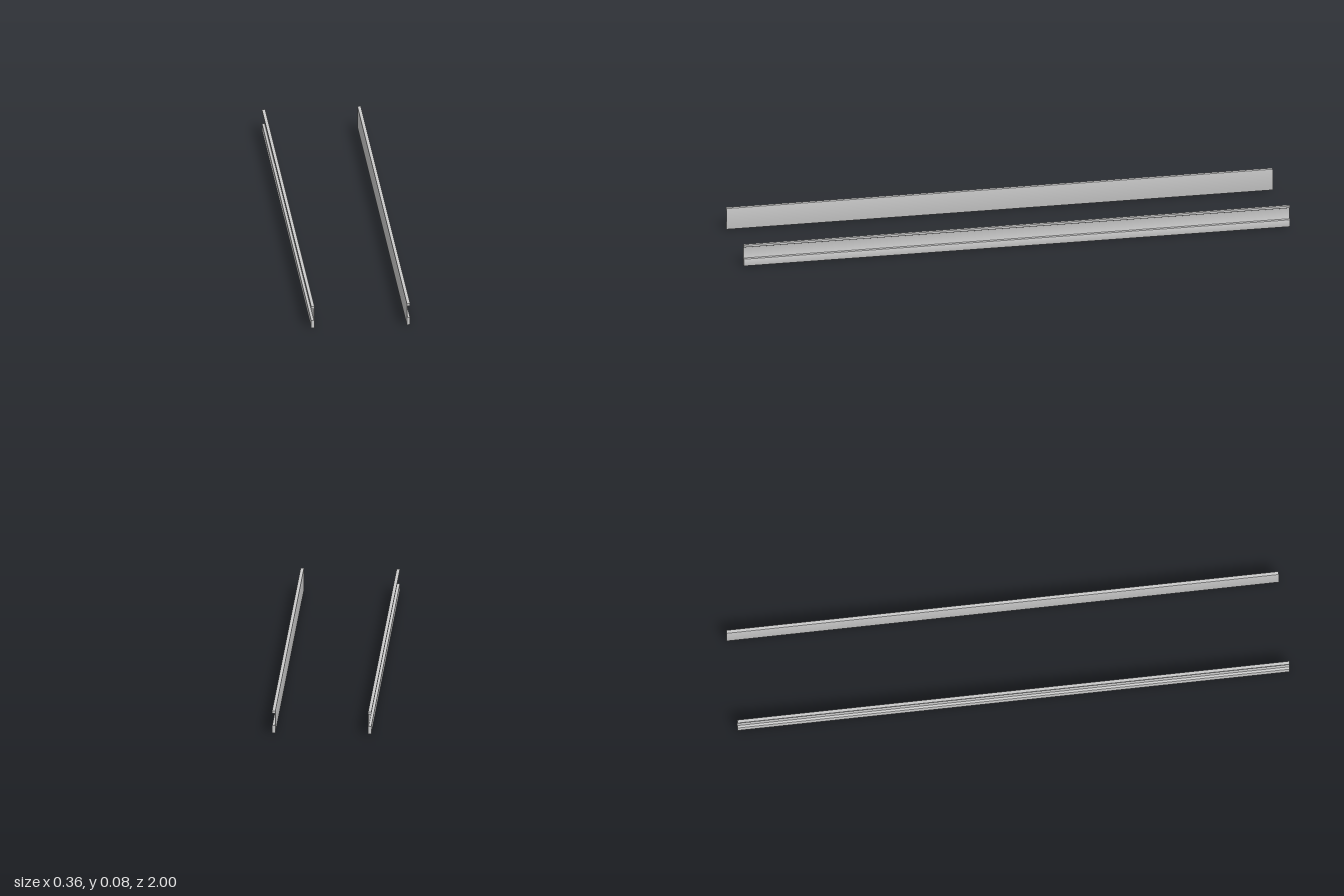
import * as THREE from 'three';
import { toCreasedNormals } from 'three/addons/utils/BufferGeometryUtils.js';

const LENGTH = 2, HEIGHT = 0.082;
const INNER = 0.1665, OUTER = 0.179; // flat web face, flange edge
const WEB = INNER + 0.0025;

// Cross-section corners: [x, y, corner radius]
const PROFILE = [
  [INNER, 0, 0.002],
  [OUTER, 0, 0.003],
  [OUTER, 0.028, 0.003],
  [WEB, 0.028, 0.001],
  [WEB, 0.073, 0.001],
  [OUTER, 0.073, 0.003],
  [OUTER, HEIGHT, 0.001],
  [INNER, HEIGHT, 0.002],
];

// Closed outline with each corner rounded by its own radius
function roundedShape(corners) {
  const shape = new THREE.Shape();
  const n = corners.length;
  corners.forEach(([x, y, r], i) => {
    const corner = new THREE.Vector2(x, y);
    const toward = (j) => {
      const [px, py] = corners[(j + n) % n];
      return new THREE.Vector2(px, py).sub(corner).setLength(r).add(corner);
    };
    const a = toward(i - 1), b = toward(i + 1);
    if (i === 0) shape.moveTo(a.x, a.y);
    else shape.lineTo(a.x, a.y);
    shape.quadraticCurveTo(x, y, b.x, b.y);
  });
  shape.closePath();
  return shape;
}

// One rail: the cross-section swept along z; side mirrors it in x
function makeRail(name, side, material) {
  const shape = roundedShape(PROFILE.map(([x, y, r]) => [side * x, y, r]));
  const geometry = new THREE.ExtrudeGeometry(shape, {
    depth: LENGTH, bevelEnabled: false, curveSegments: 6,
  });
  geometry.translate(0, 0, -LENGTH / 2);
  const rail = new THREE.Mesh(toCreasedNormals(geometry, 0.6), material);
  rail.name = name;
  return rail;
}

export function createModel() {
  const group = new THREE.Group();
  group.name = 'railPair';
  const material = new THREE.MeshStandardMaterial({ color: 0xcccccc });
  group.add(makeRail('leftRail', 1, material), makeRail('rightRail', -1, material));
  return group;
}
